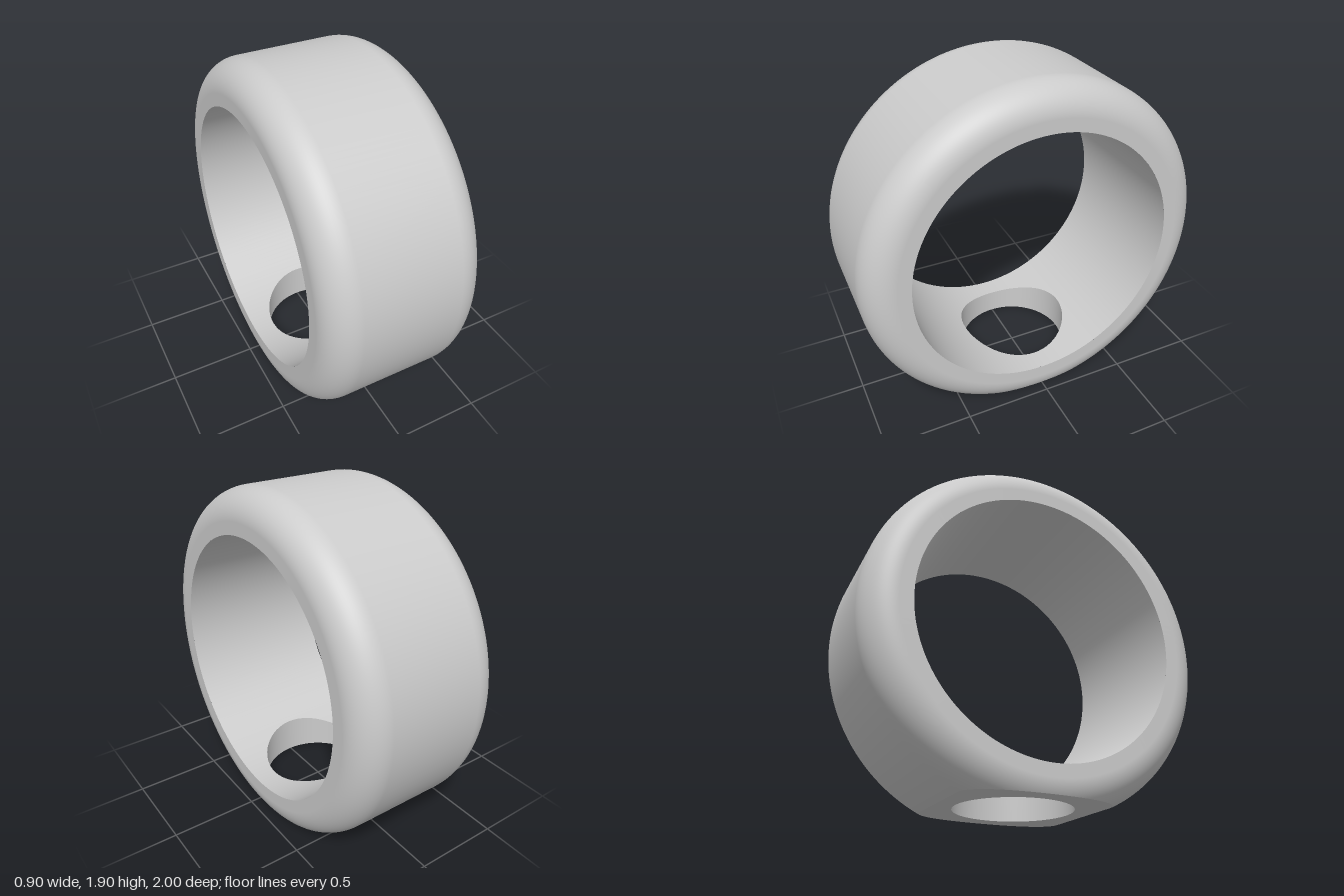
import * as THREE from 'three';

const H = 0.905;        // height of the ring axis above the flat
const R = 1.0;          // outer radius
const RI = 0.757;       // bore radius
const W = 0.45;         // half width
const F = 0.17;         // edge rounding
const RH = 0.325;       // radius of the hole in the flat

const material = new THREE.MeshStandardMaterial({ color: 0xcccccc });

// Grid surface; fn(u, v) gives [position, normal], triangles are turned to face the normal
function surface(name, nu, nv, fn) {
  const pos = [], nor = [], index = [];
  for (let i = 0; i <= nu; i++) {
    for (let j = 0; j <= nv; j++) {
      const [p, n] = fn(i / nu, j / nv);
      pos.push(...p);
      nor.push(...n);
    }
  }
  const at = (arr, k) => new THREE.Vector3().fromArray(arr, k * 3);
  const tri = (a, b, c) => {
    const A = at(pos, a);
    const face = at(pos, b).sub(A).cross(at(pos, c).sub(A));
    if (face.length() < 1e-12) return;
    const n = at(nor, a).add(at(nor, b)).add(at(nor, c));
    if (face.dot(n) > 0) index.push(a, b, c);
    else index.push(a, c, b);
  };
  for (let i = 0; i < nu; i++) {
    for (let j = 0; j < nv; j++) {
      const a = i * (nv + 1) + j, b = a + nv + 1;
      tri(a, b, b + 1);
      tri(a, b + 1, a + 1);
    }
  }
  const g = new THREE.BufferGeometry();
  g.setAttribute('position', new THREE.Float32BufferAttribute(pos, 3));
  g.setAttribute('normal', new THREE.Float32BufferAttribute(nor, 3));
  g.setIndex(index);
  const mesh = new THREE.Mesh(g, material);
  mesh.name = name;
  return mesh;
}

// Half profile from the bore edge to the tread: { x, r, nx, nr }
function halfProfile() {
  const pts = [{ x: W, r: RI, nx: 1, nr: 0 }];
  const cut = Math.asin((H - (R - F)) / F); // where the rounding meets the flat
  const add = (a) => pts.push({
    x: W - F + F * Math.cos(a), r: R - F + F * Math.sin(a), nx: Math.cos(a), nr: Math.sin(a),
  });
  for (let i = 0; i < 5; i++) add(cut * i / 5);
  for (let i = 0; i <= 16; i++) add(cut + (Math.PI / 2 - cut) * (i / 16) ** 2);
  return pts;
}

export function createModel() {
  const ring = new THREE.Group();
  ring.name = 'ring';

  const half = halfProfile();
  const profile = [...half, ...half.slice().reverse().map((p) => ({ ...p, x: -p.x, nx: -p.nx }))];

  // Rounded outside and side faces, stopped at the flat
  ring.add(surface('outerBand', profile.length - 1, 160, (u, v) => {
    const p = profile[Math.round(u * (profile.length - 1))];
    const start = p.r > H + 1e-9 ? Math.acos(H / p.r) : 0;
    const t = start + (2 * Math.PI - 2 * start) * v;
    const c = Math.cos(t), s = Math.sin(t);
    return [[p.x, H - p.r * c, p.r * s], [p.nx, -p.nr * c, p.nr * s]];
  }));

  // Flat underside with its round hole
  const edge = profile.filter((p) => p.r > H - 1e-9)
    .map((p) => new THREE.Vector2(p.x, Math.sqrt(Math.max(0, p.r * p.r - H * H))));
  const mirrored = edge.slice(1, -1).reverse().map((p) => new THREE.Vector2(p.x, -p.y));
  const outline = new THREE.Shape([...edge, ...mirrored]);
  outline.holes.push(new THREE.Path().absarc(0, 0, RH, 0, 2 * Math.PI, true));
  const flat = new THREE.Mesh(new THREE.ShapeGeometry(outline, 32).rotateX(Math.PI / 2), material);
  flat.name = 'flatUnderside';
  ring.add(flat);

  // Bore: the wide arc clear of the hole, then the two strips beside the hole
  const bore = (x, t) => [
    [x, H - RI * Math.cos(t), RI * Math.sin(t)],
    [0, Math.cos(t), -Math.sin(t)],
  ];
  const tHole = Math.asin(RH / RI);
  ring.add(surface('bore', 1, 140, (u, v) =>
    bore(W - 2 * W * u, tHole + (2 * Math.PI - 2 * tHole) * v)));
  for (const side of [1, -1]) {
    ring.add(surface(side > 0 ? 'boreStripLeft' : 'boreStripRight', 4, 32, (u, v) => {
      const a = Math.PI * (v - 0.5);
      const inner = RH * Math.cos(a);
      return bore(side * (inner + (W - inner) * u), Math.asin(RH * Math.sin(a) / RI));
    }));
  }

  // Wall of the hole between the flat and the bore
  ring.add(surface('holeWall', 64, 1, (u, v) => {
    const a = 2 * Math.PI * u;
    const x = RH * Math.cos(a), z = RH * Math.sin(a);
    const top = H - Math.sqrt(RI * RI - z * z);
    return [[x, top * v, z], [-Math.cos(a), 0, -Math.sin(a)]];
  }));

  return ring;
}
